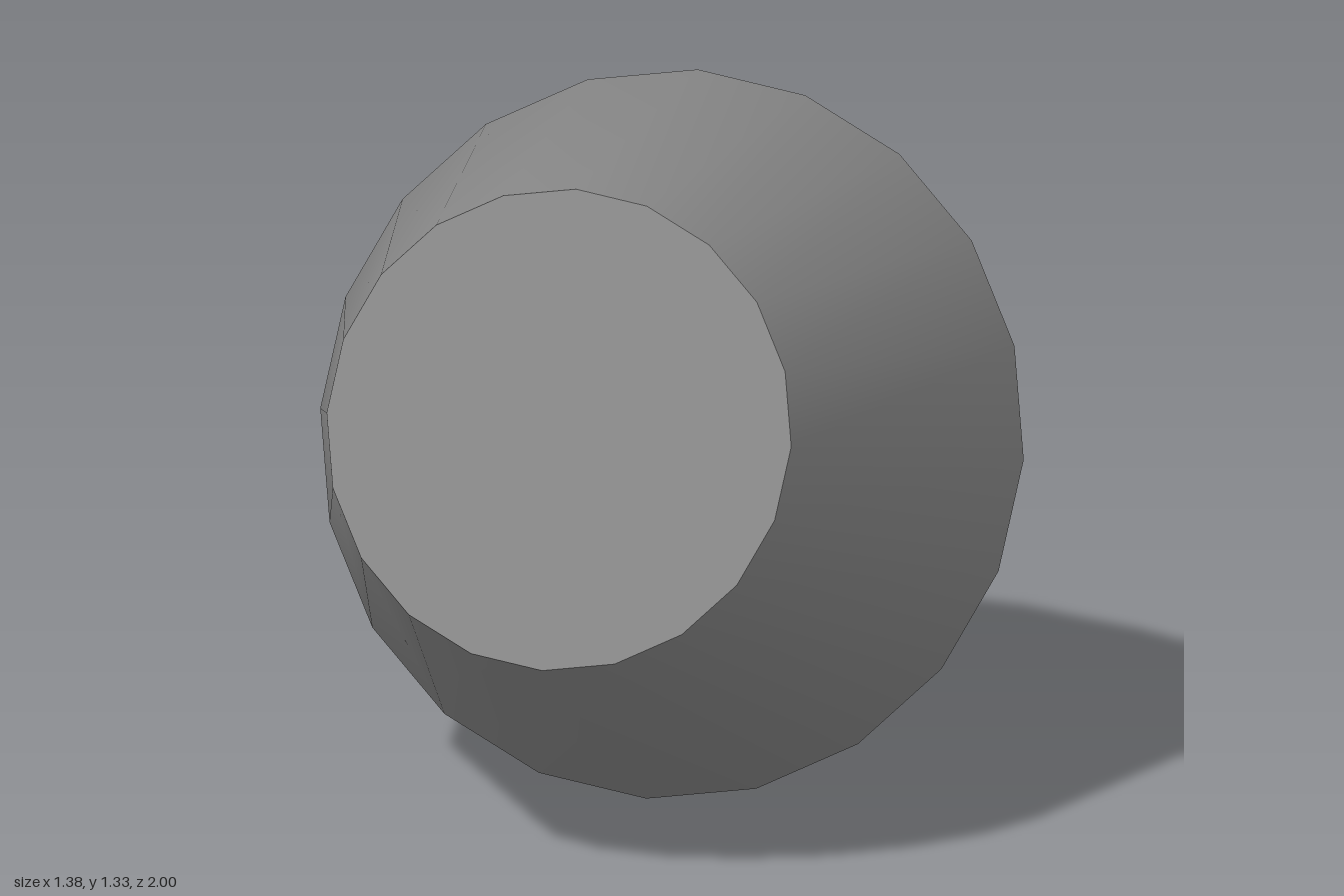
import * as THREE from 'three';

export function createModel() {
  const group = new THREE.Group();
  const material = new THREE.MeshStandardMaterial({ color: 0x878787 });
  const sides = 20;

  // Profile rings: [radius, distance along the axis from the flat front]
  const profile = [
    [0.455, 0], [0.689, 0.812], [0.58, 1.077], [0.421, 1.337],
    [0.247, 1.626], [0.125, 1.8], [0.018, 1.94], [0, 1.948],
  ].map(([r, t]) => new THREE.Vector2(r, t));

  // Smooth body tapering to a point at the back
  const body = new THREE.Mesh(new THREE.LatheGeometry(profile, sides), material);
  body.name = 'body';

  // Flat disc closing the front
  const disc = new THREE.CircleGeometry(profile[0].x, sides).rotateX(Math.PI / 2);
  const frontDisc = new THREE.Mesh(disc, material);
  frontDisc.name = 'frontDisc';

  // Tilt the axis so the tip points back and 15 degrees down
  const tilted = new THREE.Group();
  tilted.name = 'taperedBulb';
  tilted.add(body, frontDisc);
  tilted.rotation.x = -THREE.MathUtils.degToRad(105);
  tilted.position.set(0, 0.88, 0.882);
  group.add(tilted);
  return group;
}
